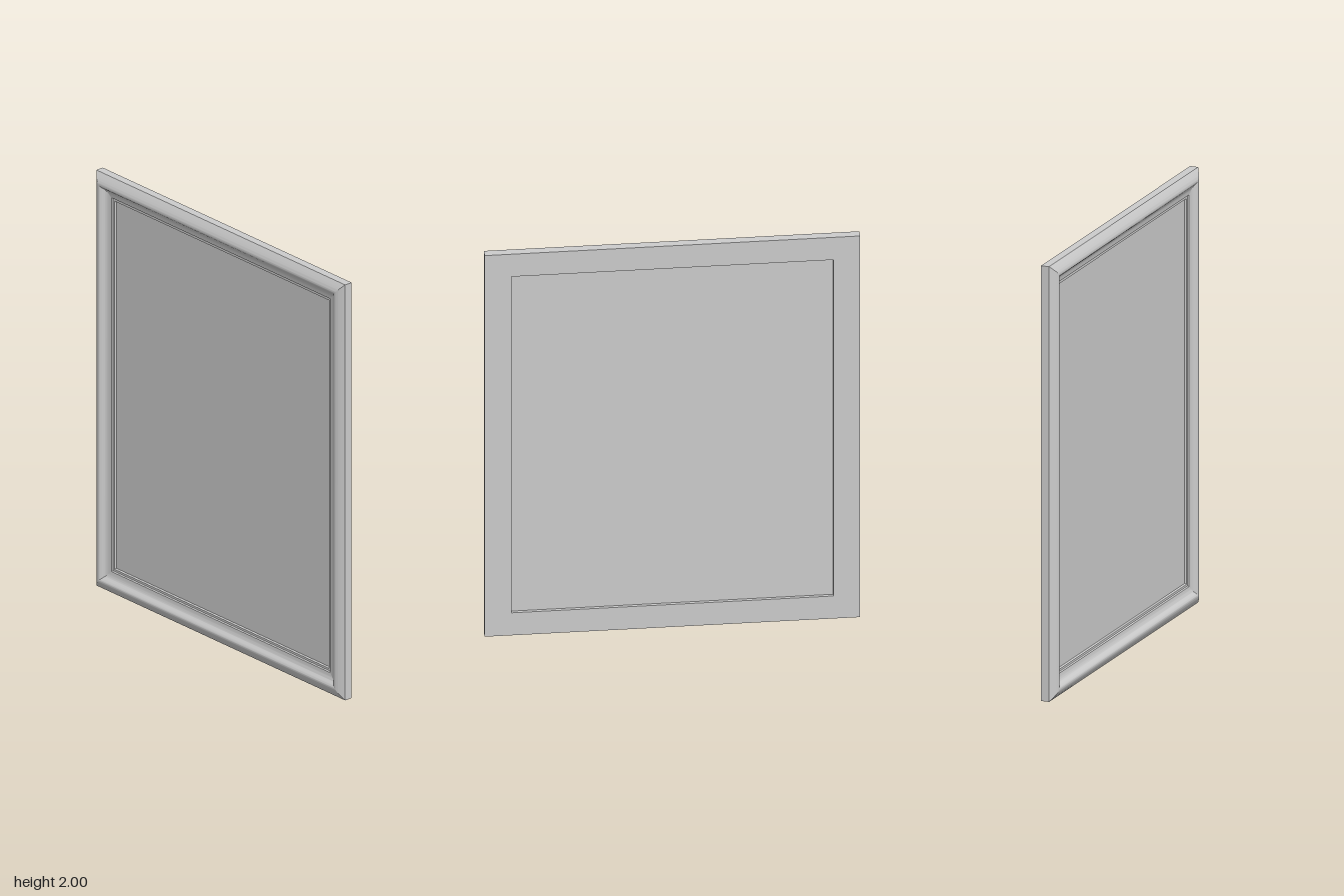
import * as THREE from 'three';
import { toCreasedNormals } from 'three/addons/utils/BufferGeometryUtils.js';

const W = 0.83, H = 1, BACK = -0.035;

// Moulding section: x = distance in from the outer edge, y = height (z)
function mouldingProfile() {
  const curve = new THREE.SplineCurve([
    [0, 0.003], [0.018, 0.018], [0.036, 0.03], [0.05, 0.032], [0.06, 0.024],
    [0.068, 0.014], [0.08, 0.007], [0.1, 0.003],
  ].map(p => new THREE.Vector2(...p)));
  return [
    new THREE.Vector2(0, BACK),
    ...curve.getPoints(28),
    new THREE.Vector2(0.104, -0.003),
    new THREE.Vector2(0.114, -0.003),
    new THREE.Vector2(0.118, -0.012),
    new THREE.Vector2(0.118, BACK),
    new THREE.Vector2(0, BACK),
  ];
}

// One mitred rail between two corners, given as signs [sx, sy]
function railGeometry(profile, from, to) {
  const place = ([sx, sy], p) => {
    // the raised bead is slightly lower on the +x side
    const lift = p.y > 0.003 ? 0.003 + (p.y - 0.003) * (sx > 0 ? 0.7 : 1) : p.y;
    return [sx * (W - p.x), H + sy * (H - p.x), lift];
  };
  const pos = [];
  for (let k = 0; k < profile.length - 1; k++) {
    const a = place(from, profile[k]), b = place(from, profile[k + 1]);
    const c = place(to, profile[k + 1]), d = place(to, profile[k]);
    pos.push(...a, ...d, ...b, ...d, ...c, ...b);
  }
  const geo = new THREE.BufferGeometry();
  geo.setAttribute('position', new THREE.Float32BufferAttribute(pos, 3));
  return toCreasedNormals(geo, 0.5);
}

export function createModel() {
  const group = new THREE.Group();
  group.name = 'pictureFrame';
  const material = new THREE.MeshStandardMaterial({ color: 0xcccccc });

  // Four mitred rails, anticlockwise from the bottom
  const profile = mouldingProfile();
  const corners = [[-1, -1], [1, -1], [1, 1], [-1, 1]];
  ['bottomRail', 'leftRail', 'topRail', 'rightRail'].forEach((name, i) => {
    const rail = new THREE.Mesh(railGeometry(profile, corners[i], corners[(i + 1) % 4]), material);
    rail.name = name;
    group.add(rail);
  });

  // Flat panel set into the frame, recessed at the back
  const panel = new THREE.Mesh(new THREE.BoxGeometry(2 * (W - 0.117), 2 * (H - 0.117), 0.01), material);
  panel.name = 'panel';
  panel.position.set(0, H, -0.016);
  group.add(panel);

  return group;
}
